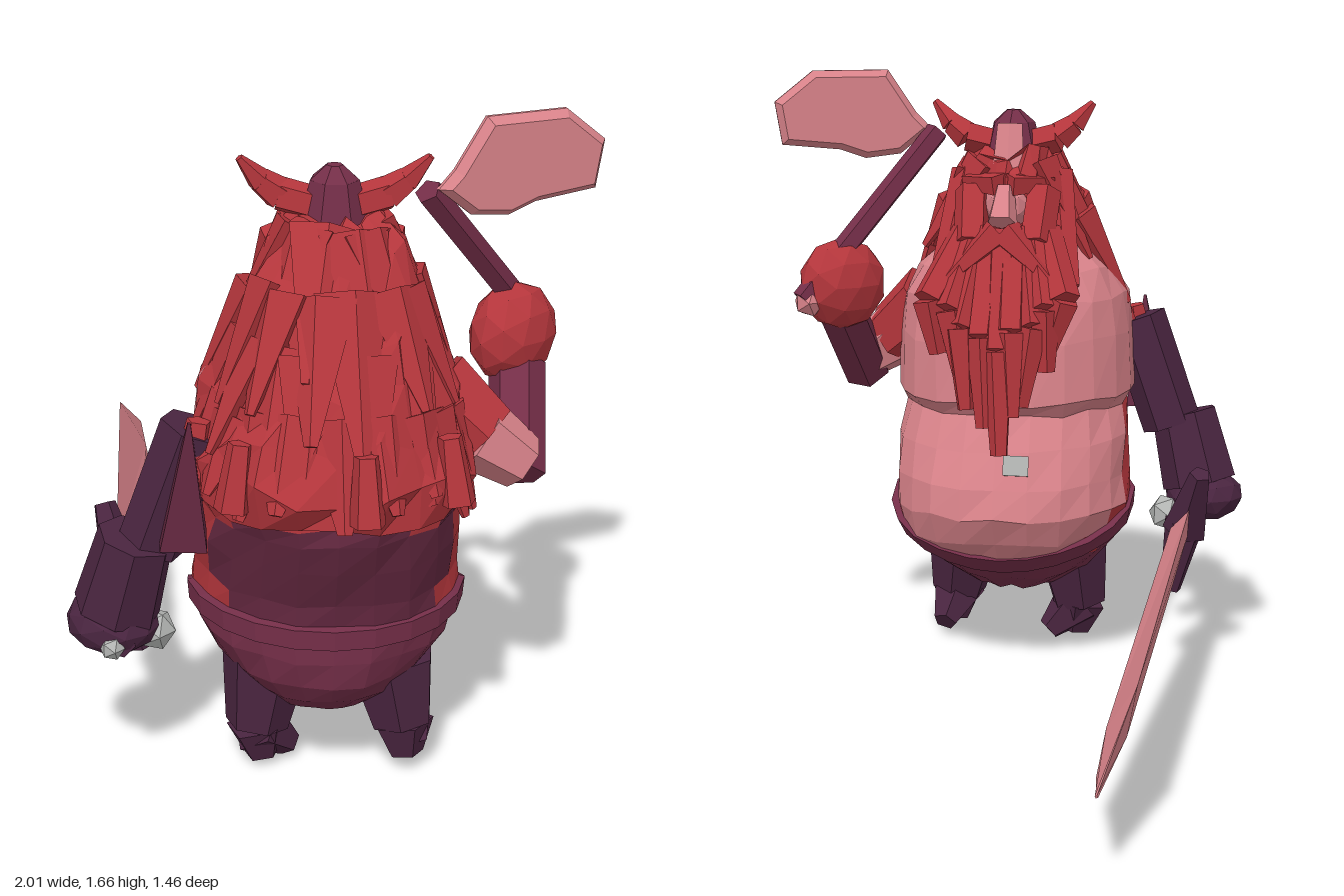
import * as THREE from 'three';

const mat = (name, color) => {
  const m = new THREE.MeshStandardMaterial({ color });
  m.name = name;
  return m;
};
const V = (x, y, z) => new THREE.Vector3(x, y, z);

export function createModel() {
  const red = mat('hair red', 0xb5363c), skin = mat('pale pink', 0xd9838a);
  const maroon = mat('maroon', 0x742e48), plum = mat('plum', 0x642840);
  const purple = mat('dark purple', 0x4a2540), grey = mat('pommel grey', 0xb4b6b4);
  const model = new THREE.Group();
  let seed = 7;
  const rnd = (s = 1) => { seed = (seed * 16807) % 2147483647; return (seed / 2147483647 - 0.5) * 2 * s; };

  // Faceted mesh helper
  function add(parent, name, geo, material) {
    const g = geo.index ? geo.toNonIndexed() : geo;
    g.computeVertexNormals();
    const mesh = new THREE.Mesh(g, material);
    mesh.name = name;
    parent.add(mesh);
    return mesh;
  }

  // Skin a list of equal rings; pick(centre) returns a material slot per quad
  function loft(rings, pick) {
    const pts = [], groups = [], n = rings[0].length, last = rings[rings.length - 1];
    const face = (mid, ...p) => {
      if (pick) groups.push([pts.length, p.length, pick(mid)]);
      pts.push(...p);
    };
    for (let i = 0; i < rings.length - 1; i++) for (let j = 0; j < n; j++) {
      const k = (j + 1) % n, A = rings[i], B = rings[i + 1];
      face(A[j].clone().add(B[k]).multiplyScalar(0.5), A[j], A[k], B[k], A[j], B[k], B[j]);
    }
    for (let j = 1; j < n - 1; j++) {
      face(rings[0][j], rings[0][0], rings[0][j + 1], rings[0][j]);
      face(last[j], last[0], last[j], last[j + 1]);
    }
    const geo = new THREE.BufferGeometry().setFromPoints(pts);
    groups.forEach(g => geo.addGroup(...g));
    return geo;
  }

  // Tapered segment from p to q
  function limb(parent, name, p, q, r1, r2, material, sides = 6, flat = 1) {
    const dir = q.clone().sub(p);
    const geo = new THREE.CylinderGeometry(r2, r1, dir.length(), sides);
    geo.scale(1, 1, flat);
    const m = add(parent, name, geo, material);
    m.position.copy(p).add(q).multiplyScalar(0.5);
    m.quaternion.setFromUnitVectors(V(0, 1, 0), dir.normalize());
    return m;
  }
  function lump(parent, name, p, r, material, sx = 1, sy = 1, sz = 1, detail = 1) {
    const m = add(parent, name, new THREE.IcosahedronGeometry(r, detail).scale(sx, sy, sz), material);
    m.position.copy(p);
    return m;
  }

  // The figure looks along its own +z, turned diagonally to the model's axes
  const figure = new THREE.Group();
  figure.name = 'figure';
  figure.position.set(0.55, 0, 0.15);
  figure.rotation.y = -Math.PI * 0.75;
  model.add(figure);

  const N = 22;
  const ring = f => Array.from({ length: N }, (_, j) => f((j / N) * Math.PI * 2));
  const beltY = a => 0.46 - 0.15 * Math.max(0, Math.cos(a) + 0.15) / 1.15;

  // Torso profile (height, centre, half width, half depth)
  const torso = [[0.19, -0.03, 0.12], [0.25, -0.01, 0.21], [0.31, 0.01, 0.27], [0.38, 0.04, 0.315],
    [0.46, 0.06, 0.335], [0.54, 0.045, 0.33], [0.64, 0.005, 0.325], [0.73, -0.035, 0.315], [0.77, -0.02, 0.335],
    [0.93, -0.03, 0.33, 0.32], [1.04, -0.02, 0.32, 0.27], [1.12, -0.01, 0.275, 0.22], [1.19, 0, 0.2, 0.14]];
  const rings = torso.map(([y, cz, rx, rz = rx]) => ring(a => {
    const k = 1 + rnd(0.022);
    return V(Math.sin(a) * rx * k, y + rnd(0.008), cz + Math.cos(a) * rz * k);
  }));
  // Pink front, red flanks, plum back, maroon seat
  add(figure, 'torso', loft(rings, p => {
    const a = Math.abs(Math.atan2(p.x, p.z));
    if (p.y < beltY(a) - 0.02) return 0;
    if (a < (p.y > 0.8 ? 1.7 : 1.4) && p.y > 0.27 + 0.13 * a * a) return 1;
    if (a < 2.05 || p.y > 0.75) return 2;
    return 3;
  }), [maroon, skin, red, plum]);

  // Belt following the torso and sloping under the belly
  const beltRing = (dy, out) => ring(a => {
    const y = beltY(a) + dy, i = torso.findIndex(t => t[0] > y);
    const [lo, hi] = [torso[i - 1], torso[i]], t = (y - lo[0]) / (hi[0] - lo[0]);
    const r = lo[2] + (hi[2] - lo[2]) * t + out;
    return V(Math.sin(a) * r, y, lo[1] + (hi[1] - lo[1]) * t + Math.cos(a) * r);
  });
  add(figure, 'belt', loft([beltRing(-0.035, -0.01), beltRing(-0.03, 0.02),
    beltRing(0.02, 0.018), beltRing(0.025, -0.01)]), maroon);

  // Navel plate
  const navel = add(figure, 'navel', new THREE.BoxGeometry(0.07, 0.055, 0.008), grey);
  navel.position.set(0.06, 0.61, 0.35);
  navel.rotation.set(-0.3, 0.17, 0);

  // Legs and boots: hip, ankle, toe, heel
  [[V(0.15, 0.31, -0.05), V(0.175, 0.11, -0.07), V(0.09, 0.03, -0.03), V(0.16, 0.025, -0.07)],
    [V(-0.16, 0.3, -0.08), V(-0.19, 0.13, -0.1), V(-0.215, 0.05, 0), V(-0.2, 0.045, -0.11)]]
    .forEach(([hip, ankle, toe, heel]) => {
      limb(figure, 'thigh', hip, ankle, 0.115, 0.08, purple);
      limb(figure, 'boot', ankle, toe, 0.08, 0.035, purple, 5);
      limb(figure, 'heel', ankle, heel, 0.08, 0.045, purple, 5);
    });

  // Hair mantle: narrow at the head, flaring over the shoulders, tucked in behind the face
  const flare = [[0.78, 0.34], [0.88, 0.355], [0.98, 0.315], [1.08, 0.265], [1.18, 0.24], [1.28, 0.215], [1.37, 0.165], [1.44, 0.1]];
  const hairAt = y => {
    const i = Math.max(1, flare.findIndex(f => f[0] >= y)), [lo, hi] = [flare[i - 1], flare[i]];
    return lo[1] + (hi[1] - lo[1]) * (y - lo[0]) / (hi[0] - lo[0]);
  };
  const hairZ = y => -0.06 * Math.min(1, Math.max(0, (1.4 - y) / 0.45));
  add(figure, 'hair', loft(flare.map(([y, r]) => ring(a => {
    const k = (Math.cos(a) > 0.05 ? Math.min(r, 0.14) : r) + rnd(0.02);
    return V(Math.sin(a) * k, y + rnd(0.03), hairZ(y) + Math.cos(a) * k);
  }))), red);

  // Layers of broad pointed locks over the mantle; from is the angle where the row begins
  [[1.41, 0.28, 8, 1.2], [1.28, 0.28, 8, 1.6], [1.16, 0.27, 8, 1.75], [1.02, 0.23, 9, 1.85]]
    .forEach(([y, len, count, from]) => {
      for (let i = 0; i < count; i++) {
        const a = from + (i / (count - 1)) * (Math.PI * 2 - 2 * from) + rnd(0.1);
        const at = (h, out) => V(Math.sin(a) * (hairAt(h) + out), h, hairZ(h) + Math.cos(a) * (hairAt(h) + out));
        const low = y - len + rnd(0.05);
        limb(figure, 'lock', at(low, 0.012 + rnd(0.015)), at(y + rnd(0.02), -0.03),
          0.018, 0.095, red, 5, 0.5).rotateY(a + rnd(0.35));
      }
    });
  // Loose tufts at the ends of the hair
  [1.9, 2.4, 3.3, 4.0].forEach(a => limb(figure, 'tuft',
    V(Math.sin(a) * 0.37, 0.82, -0.06 + Math.cos(a) * 0.37),
    V(Math.sin(a) * 0.34, 0.98, -0.06 + Math.cos(a) * 0.34), 0.045, 0.03, red, 5));

  // Face, moustache and long beard
  lump(figure, 'face', V(0, 1.3, 0.07), 0.095, skin, 0.8, 0.8, 1);
  limb(figure, 'nose', V(0, 1.35, 0.15), V(0, 1.26, 0.205), 0.027, 0.045, skin, 5);
  for (const s of [-1, 1]) {
    limb(figure, 'brow', V(s * 0.015, 1.36, 0.155), V(s * 0.12, 1.36, 0.08), 0.036, 0.025, red, 4);
    limb(figure, 'cheekHair', V(s * 0.1, 1.34, 0.1), V(s * 0.09, 1.2, 0.18), 0.05, 0.05, red, 5);
    limb(figure, 'moustache', V(s * 0.01, 1.23, 0.2), V(s * 0.15, 1.1, 0.25), 0.05, 0.015, red, 5);
    limb(figure, 'sideLock', V(s * 0.13, 1.38, 0.02), V(s * 0.18, 1.08, 0.17), 0.045, 0.035, red, 5);
  }
  for (let i = -4; i <= 4; i++) {
    const x = i * 0.046, side = Math.abs(i);
    const tip = [0.64, 0.73, 0.77, 0.85, 0.92][side] + rnd(0.02);
    const mid = V(x + rnd(0.01), (tip + 1.2) / 2, 0.32 - side * 0.012);
    limb(figure, 'beard', V(x * 0.6, 1.23, 0.18 - side * 0.012), mid, 0.045, 0.045, red, 5);
    limb(figure, 'beardTip', mid, V(x * 0.85 + rnd(0.02), tip, 0.37 - side * 0.025), 0.045, 0.025, red, 5);
  }

  // Helmet with a pale front strip and two horns
  const cap = add(figure, 'helmet', new THREE.CylinderGeometry(0.06, 0.09, 0.12, 7), maroon);
  cap.position.y = 1.46;
  const dome = add(figure, 'helmetTop', new THREE.CylinderGeometry(0.02, 0.06, 0.035, 7), maroon);
  dome.position.y = 1.537;
  limb(figure, 'helmetStrip', V(0, 1.38, 0.1), V(0, 1.52, 0.062), 0.045, 0.035, skin, 4, 0.3);
  for (const s of [-1, 1]) {
    const pts = [V(s * 0.05, 1.46, 0), V(s * 0.13, 1.48, 0.01), V(s * 0.175, 1.515, 0.005), V(s * 0.225, 1.575, -0.01)];
    const radii = [0.042, 0.043, 0.032, 0.01];
    for (let i = 0; i < 3; i++) limb(figure, 'horn', pts[i], pts[i + 1], radii[i], radii[i + 1], red, 5);
  }

  // Raised arm
  limb(model, 'shoulder', V(0.74, 1.0, 0), V(0.86, 0.89, -0.06), 0.12, 0.1, red);
  limb(model, 'upperArm', V(0.85, 0.9, -0.05), V(0.93, 0.82, -0.13), 0.095, 0.07, skin);
  limb(model, 'forearm', V(0.92, 0.79, -0.12), V(0.79, 1.0, -0.28), 0.07, 0.07, maroon);
  lump(model, 'raisedHand', V(0.765, 1.075, -0.29), 0.13, red, 0.75, 1, 1);

  // Axe
  limb(model, 'axeHandle', V(0.76, 1.04, -0.42), V(0.71, 1.49, 0), 0.034, 0.034, maroon, 5);
  lump(model, 'axeButt', V(0.76, 1.035, -0.4), 0.045, skin, 1, 1, 1, 0);
  const axe = new THREE.Shape([[0.03, 1.5], [0.06, 1.53], [0.135, 1.645], [0.33, 1.645], [0.425, 1.57], [0.41, 1.475],
    [0.26, 1.46], [0.19, 1.435], [0.1, 1.445]].map(([x, y]) => new THREE.Vector2(x, y)));
  const axeGeo = new THREE.ExtrudeGeometry(axe, { depth: 0.01, bevelThickness: 0.022, bevelSize: 0.018, bevelSegments: 1 });
  const axeHead = add(model, 'axeHead', axeGeo.translate(0, 0, -0.005), skin);
  axeHead.position.set(0.735, 0, 0);
  axeHead.rotation.y = Math.atan2(0.88, 0.41);

  // Lowered arm with a heavy gauntlet
  limb(model, 'upperArm', V(0.41, 0.95, 0.48), V(0.33, 0.64, 0.55), 0.085, 0.085, purple);
  limb(model, 'sleevePoint', V(0.43, 0.68, 0.54), V(0.47, 1.0, 0.56), 0.08, 0.005, plum, 4);
  limb(model, 'gauntlet', V(0.32, 0.67, 0.59), V(0.27, 0.47, 0.61), 0.095, 0.11, purple, 7);
  lump(model, 'loweredHand', V(0.26, 0.435, 0.615), 0.11, purple, 1.1, 0.7, 1);

  // Sword
  limb(model, 'grip', V(0.06, 0.4, 0.38), V(0.34, 0.42, 0.67), 0.045, 0.04, purple);
  lump(model, 'pommel', V(0.3, 0.385, 0.51), 0.055, grey, 1, 1, 1, 0);
  lump(model, 'gripEnd', V(0.33, 0.41, 0.685), 0.032, grey, 1, 1, 1, 0);
  limb(model, 'guardTop', V(0.08, 0.4, 0.4), V(-0.02, 0.58, 0.37), 0.065, 0.03, purple, 5);
  limb(model, 'guardBottom', V(0.08, 0.42, 0.4), V(0.12, 0.22, 0.38), 0.06, 0.03, purple, 5);
  const base = V(0.07, 0.4, 0.37), tip = V(-1, 0.2, -0.73);
  const d = tip.clone().sub(base).normalize();
  const side = d.clone().cross(V(0, 1, 0)).normalize().applyAxisAngle(d, -0.38);
  const up = side.clone().cross(d);
  const blade = [[0, 0.088, 0.026, 0], [0.8, 0.15, 0.026, 0.03], [1, 0.004, 0.004, 0]].map(([t, h, w, lean]) => {
    const c = base.clone().lerp(tip, t);
    return [[h, 0], [0, w], [-h, 0], [0, -w]].map(([u, s]) => c.clone()
      .addScaledVector(up, u).addScaledVector(side, s).addScaledVector(d, Math.sign(u) * lean));
  });
  add(model, 'blade', loft(blade), skin);

  return model;
}
